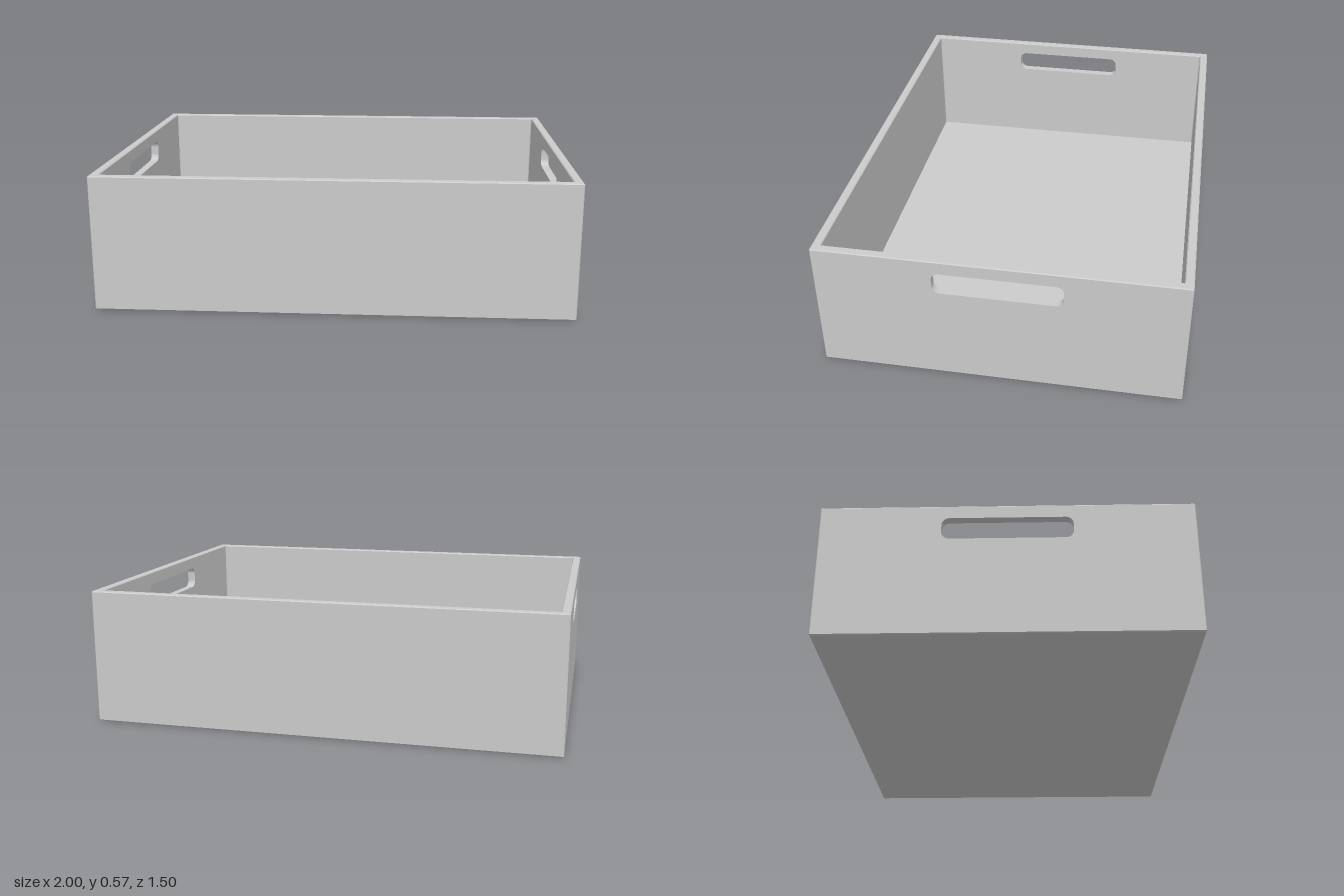
import * as THREE from 'three';

const HX = 1, HZ = 0.75, H = 0.575, T = 0.037, B = 0.004; // half sizes, height, wall, bevel

// Rectangular ring with chamfered corners, starting on the front edge
function loop(inset, y) {
  const x = HX - inset, z = HZ - inset;
  return [[B - x, z], [x - B, z], [x, z - B], [x, B - z],
    [x - B, -z], [B - x, -z], [-x, B - z], [-x, z - B]].map(([px, pz]) => [px, y, pz]);
}

// Walls, rim and floor swept from one profile; the flat end faces are left open for the handle panels
function trayGeometry() {
  const rows = [[B, 0], [0, B], [0, H - B], [B, H], [T - B, H], [T, H - B], [T, T]]
    .map(([inset, y]) => loop(inset, y));
  const pos = [];
  const tri = (...p) => p.forEach(v => pos.push(...v));
  for (let j = 0; j < rows.length - 1; j++) {
    for (let i = 0; i < 8; i++) {
      if ((j === 1 || j === 5) && (i === 2 || i === 6)) continue;
      const k = (i + 1) % 8, lo = rows[j], hi = rows[j + 1];
      tri(lo[i], lo[k], hi[k]);
      tri(lo[i], hi[k], hi[i]);
    }
  }
  const under = rows[0], floor = rows[rows.length - 1];
  for (let i = 1; i < 7; i++) {
    tri(under[0], under[i + 1], under[i]);
    tri(floor[0], floor[i], floor[i + 1]);
  }
  const g = new THREE.BufferGeometry();
  g.setAttribute('position', new THREE.Float32BufferAttribute(pos, 3));
  g.computeVertexNormals();
  return g;
}

// End wall with a rounded hand slot
function endPanelGeometry() {
  const w = HZ - B;
  const shape = new THREE.Shape();
  shape.moveTo(-w, B).lineTo(w, B).lineTo(w, H - B).lineTo(-w, H - B).closePath();
  const s = 0.263, y0 = 0.422, y1 = 0.518, r = 0.032;
  const slot = new THREE.Path();
  slot.moveTo(r - s, y0).lineTo(s - r, y0);
  slot.absarc(s - r, y0 + r, r, -Math.PI / 2, 0);
  slot.lineTo(s, y1 - r);
  slot.absarc(s - r, y1 - r, r, 0, Math.PI / 2);
  slot.lineTo(r - s, y1);
  slot.absarc(r - s, y1 - r, r, Math.PI / 2, Math.PI);
  slot.lineTo(-s, y0 + r);
  slot.absarc(r - s, y0 + r, r, Math.PI, Math.PI * 1.5);
  shape.holes.push(slot);
  return new THREE.ExtrudeGeometry(shape, { depth: T, bevelEnabled: false, curveSegments: 8 })
    .translate(0, 0, -T / 2)
    .rotateY(Math.PI / 2);
}

export function createModel() {
  const group = new THREE.Group();
  group.name = 'storageTray';
  const material = new THREE.MeshStandardMaterial({ color: 0xcccccc });

  const tray = new THREE.Mesh(trayGeometry(), material);
  tray.name = 'trayBody';
  group.add(tray);

  const panel = endPanelGeometry();
  for (const [name, side] of [['leftHandlePanel', 1], ['rightHandlePanel', -1]]) {
    const mesh = new THREE.Mesh(panel, material);
    mesh.name = name;
    mesh.position.x = side * (HX - T / 2);
    group.add(mesh);
  }
  return group;
}
